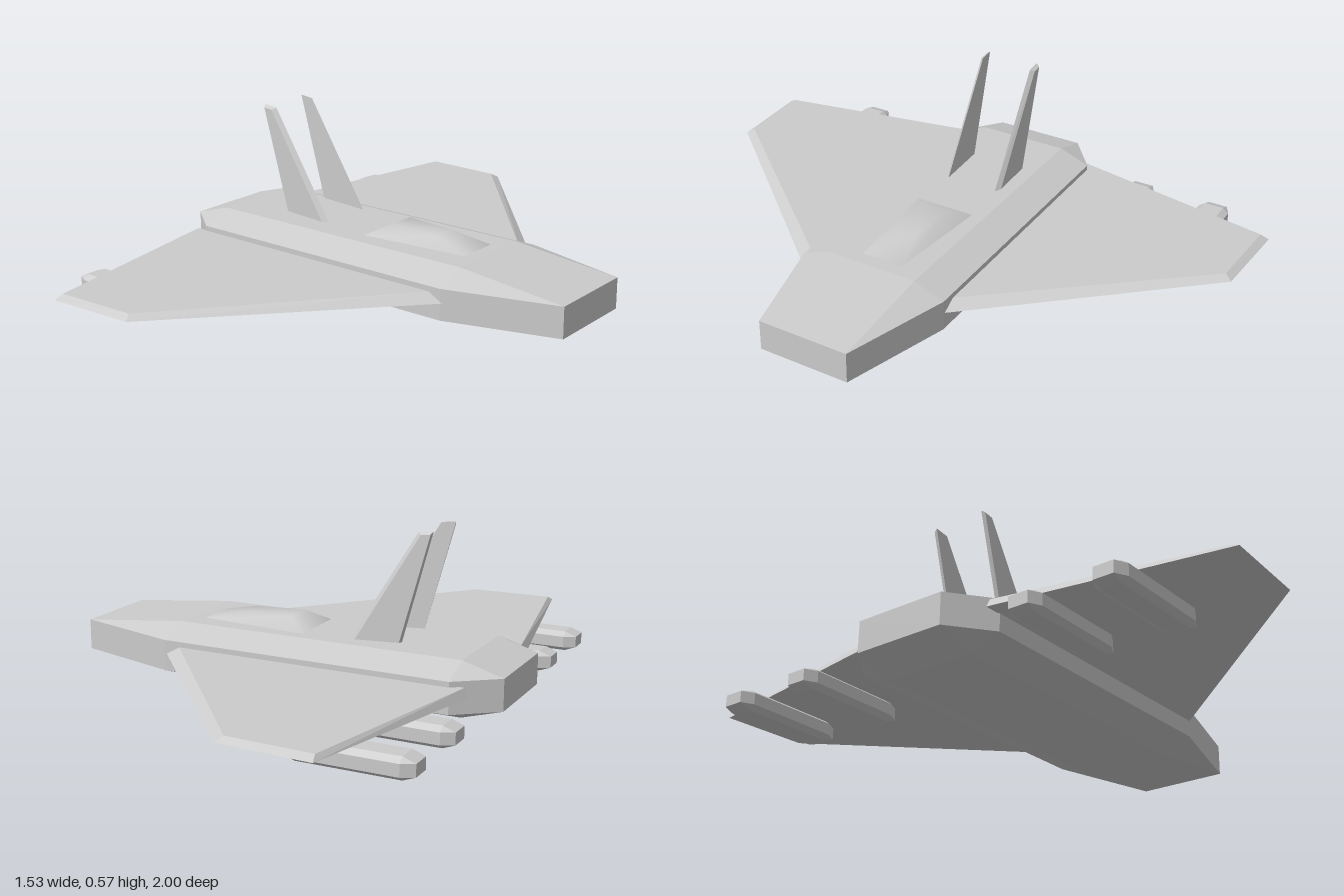
import * as THREE from 'three';
import { ConvexGeometry } from 'three/addons/geometries/ConvexGeometry.js';

const material = new THREE.MeshStandardMaterial({ color: 0xcccccc, side: THREE.DoubleSide });

function addMesh(parent, name, geometry) {
  const mesh = new THREE.Mesh(geometry, material);
  mesh.name = name;
  parent.add(mesh);
  return mesh;
}

// Flat-faced solid around a few corner points
const hull = (points) => new ConvexGeometry(points.map((p) => new THREE.Vector3(...p)));

// Long box along x with every edge bevelled; a pair is [outer, inner]
function bevelledBar([back, backIn], [front, frontIn], [low, lowIn], [high, highIn], [half, halfIn]) {
  const points = [];
  for (const s of [1, -1]) {
    for (const x of [back, front]) {
      points.push([x, lowIn, s * halfIn], [x, highIn, s * halfIn]);
    }
    for (const x of [backIn, frontIn]) {
      points.push([x, low, s * halfIn], [x, high, s * halfIn]);
      points.push([x, lowIn, s * half], [x, highIn, s * half]);
    }
  }
  return hull(points);
}

// Smooth canopy: base ring and smaller roof ring
function canopyGeometry() {
  const corners = [
    [-0.055, 0.184, 0.108], [0.34, 0.184, 0.075], [0.34, 0.184, -0.075], [-0.055, 0.184, -0.108],
    [0.02, 0.223, 0.05], [0.2, 0.217, 0.042], [0.2, 0.217, -0.042], [0.02, 0.223, -0.05],
  ];
  const index = [4, 5, 6, 4, 6, 7];
  for (let i = 0; i < 4; i++) {
    const j = (i + 1) % 4;
    index.push(i, j, j + 4, i, j + 4, i + 4);
  }
  const geometry = new THREE.BufferGeometry();
  geometry.setAttribute('position', new THREE.Float32BufferAttribute(corners.flat(), 3));
  geometry.setIndex(index);
  geometry.computeVertexNormals();
  return geometry;
}

export function createModel() {
  const model = new THREE.Group();
  model.name = 'jet';

  // Fuselage with the nose towards +x
  const fuselage = bevelledBar([-0.767, -0.63], [0.765, 0.385], [0, 0.04], [0.185, 0.145], [0.267, 0.16]);
  addMesh(model, 'fuselage', fuselage).position.z = -0.008;
  addMesh(model, 'canopy', canopyGeometry()).position.z = -0.016;

  for (const s of [1, -1]) {
    const side = s > 0 ? 'left' : 'right';

    // Wing: full outline below, inset outline on top
    addMesh(model, side + 'Wing', hull([
      [-0.687, 0.098, s * 0.255], [0.395, 0.098, s * 0.255],
      [-0.235, 0.112, s * 0.982], [-0.543, 0.112, s * 0.998],
      [-0.672, 0.127, s * 0.255], [0.345, 0.127, s * 0.255],
      [-0.25, 0.127, s * 0.957], [-0.535, 0.127, s * 0.97],
    ]));

    // Swept tail fin: full outline inside, inset outline outside
    const inner = s * 0.093;
    const outer = s * 0.106;
    addMesh(model, side + 'Fin', hull([
      [-0.405, 0.2, inner], [-0.224, 0.19, inner], [-0.455, 0.56, inner], [-0.505, 0.566, inner],
      [-0.4, 0.2, outer], [-0.245, 0.192, outer], [-0.467, 0.553, outer], [-0.5, 0.557, outer],
    ])).position.z = -0.022;

    // Two stores beneath each wing
    for (const [name, z] of [['Inner', 0.435], ['Outer', 0.72]]) {
      const store = bevelledBar([-0.74, -0.7], [-0.332, -0.372], [0.016, 0.031], [0.085, 0.07], [0.055, 0.034]);
      addMesh(model, side + name + 'Store', store).position.z = s * z - 0.023;
    }
  }
  return model;
}
